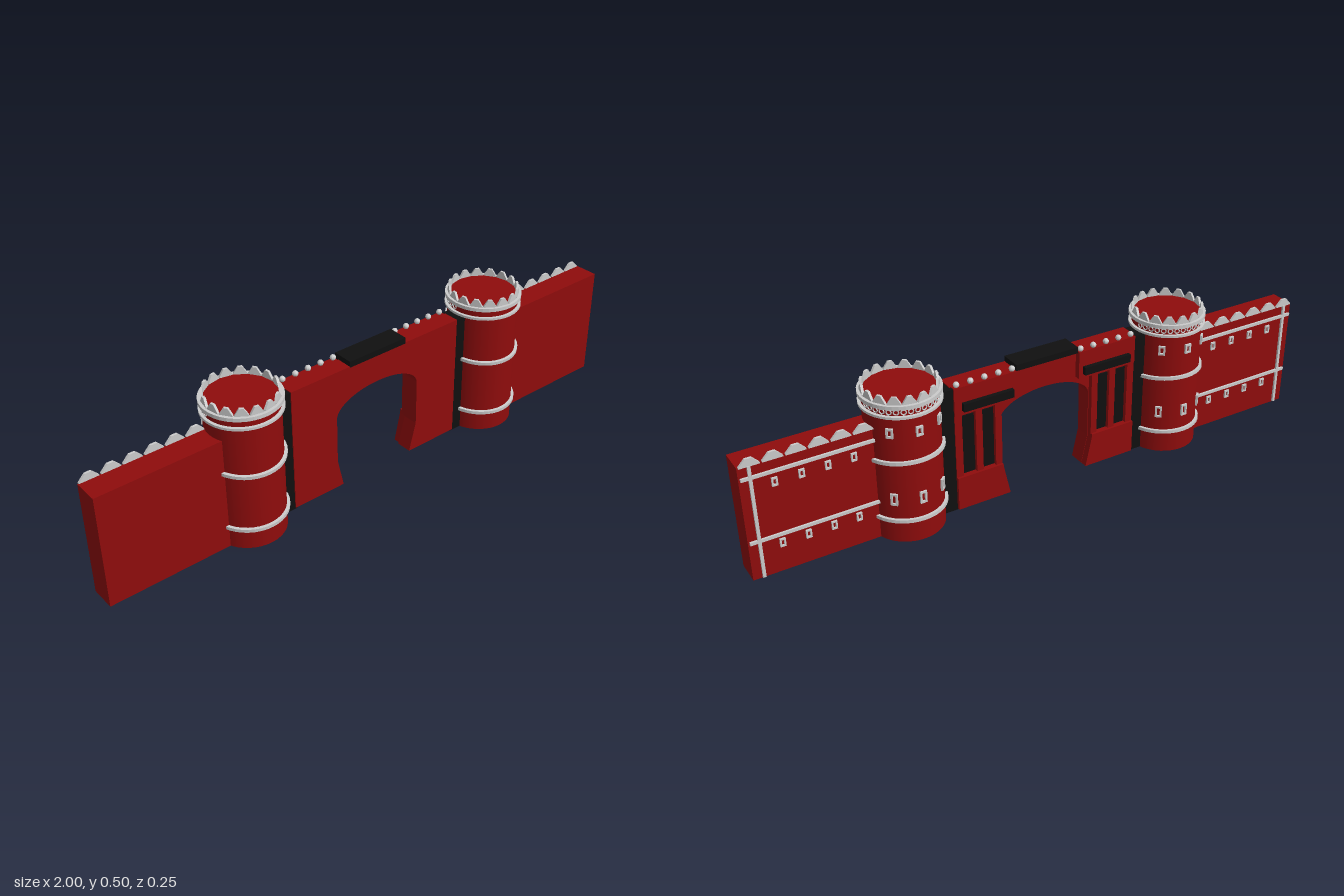
import * as THREE from 'three';

const red = new THREE.MeshStandardMaterial({ color: 0x8f0c0c });
const black = new THREE.MeshStandardMaterial({ color: 0x101010 });
const grey = new THREE.MeshStandardMaterial({ color: 0xcccccc, flatShading: true });

function add(parent, name, geometry, material, x = 0, y = 0, z = 0) {
  const mesh = new THREE.Mesh(geometry, material);
  mesh.name = name;
  mesh.position.set(x, y, z);
  parent.add(mesh);
  return mesh;
}

// Box given by its limits on each axis
function block(parent, name, material, x0, x1, y0, y1, z0, z1) {
  return add(parent, name, new THREE.BoxGeometry(Math.abs(x1 - x0), y1 - y0, z1 - z0), material,
    (x0 + x1) / 2, (y0 + y1) / 2, (z0 + z1) / 2);
}

function extrude(points, depth, hole) {
  const shape = new THREE.Shape(points.map(([x, y]) => new THREE.Vector2(x, y)));
  if (hole) shape.holes.push(new THREE.Path(hole.map(([x, y]) => new THREE.Vector2(x, y))));
  return new THREE.ExtrudeGeometry(shape, { depth, bevelEnabled: false });
}

// Tapered battlement tooth standing on y = 0
function toothGeometry(w, h, d) {
  const g = extrude([[-w / 2, 0], [w / 2, 0], [w / 2, h * 0.15], [w * 0.16, h], [-w * 0.16, h], [-w / 2, h * 0.15]], d);
  return g.translate(0, 0, -d / 2);
}

// Window surround with an open middle
function windowGeometry(w, h, d) {
  const a = w / 2, b = h / 2, c = w * 0.22, e = h / 2 - w * 0.28;
  const g = extrude([[-a, -b], [a, -b], [a, b], [-a, b]], d, [[-c, -e], [-c, e], [c, e], [c, -e]]);
  return g.translate(0, 0, -d / 2);
}

// Flat ring around a tower
function bandGeometry(r0, r1, h) {
  const p = [[r0, -h / 2], [r1, -h / 2], [r1, h / 2], [r0, h / 2], [r0, -h / 2]];
  return new THREE.LatheGeometry(p.map(([x, y]) => new THREE.Vector2(x, y)), 40);
}

function makeTower(x) {
  const tower = new THREE.Group();
  tower.name = 'tower';
  tower.position.x = x;
  const R = 0.116;
  add(tower, 'towerBody', new THREE.CylinderGeometry(R, R, 0.475, 40), red, 0, 0.2375, 0);

  // Lower bands lean slightly, crown bands are level
  for (const [y, h, tilt] of [[0.076, 0.011, 0.035], [0.275, 0.011, 0.075], [0.437, 0.008, 0], [0.47, 0.012, 0]]) {
    add(tower, 'towerBand', bandGeometry(R - 0.004, 0.126, h), grey, 0, y, 0).rotation.x = tilt;
  }

  const place = (name, geometry, angle, radius, y) => {
    const m = add(tower, name, geometry, grey, Math.sin(angle) * radius, y, Math.cos(angle) * radius);
    m.rotation.y = angle;
  };
  // Crown teeth
  const tooth = toothGeometry(0.042, 0.027, 0.008);
  for (let i = 0; i < 16; i++) place('crownTooth', tooth, (i + 0.5) * Math.PI / 8, 0.112, 0.474);
  // Row of rings on the rear half
  const ring = new THREE.TorusGeometry(0.0075, 0.0022, 6, 14);
  for (let i = -8; i <= 8; i++) place('crownRing', ring, Math.PI + i * 0.183, R + 0.001, 0.4525);
  // Rear windows
  for (const [y, h] of [[0.383, 0.032], [0.154, 0.04]]) {
    const frame = windowGeometry(0.022, h, 0.01);
    for (const i of [-1, 0, 1]) place('towerWindow', frame, Math.PI + i * 0.75, R + 0.001, y);
  }
  return tower;
}

function makeWall(s) {
  const wall = new THREE.Group();
  wall.name = 'sideWall';
  block(wall, 'wallBody', red, s * 0.56, s * 1, 0, 0.385, -0.036, 0.048);
  // Rear trim
  for (const y of [0.13, 0.345]) block(wall, 'wallBand', grey, s * 0.59, s * 0.995, y - 0.005, y + 0.005, -0.043, -0.034);
  block(wall, 'wallPost', grey, s * 0.962, s * 0.972, 0.003, 0.385, -0.043, -0.034);
  const tooth = toothGeometry(0.062, 0.026, 0.008);
  for (let i = 0; i < 6; i++) add(wall, 'wallTooth', tooth, grey, s * (0.965 - i * 0.068), 0.383, -0.037);
  const frame = windowGeometry(0.018, 0.028, 0.008);
  for (const y of [0.1, 0.31]) {
    for (let i = 0; i < 4; i++) add(wall, 'wallWindow', frame, grey, s * (0.9 - i * 0.08), y, -0.038);
  }
  return wall;
}

function makeGate() {
  const gate = new THREE.Group();
  gate.name = 'gatehouse';

  // Wall pierced by a splayed arch
  const shape = new THREE.Shape();
  shape.moveTo(0.335, 0.005);
  shape.lineTo(0.335, 0.435);
  shape.lineTo(-0.335, 0.435);
  shape.lineTo(-0.335, 0.005);
  shape.lineTo(-0.143, 0.005);
  shape.lineTo(-0.165, 0.105);
  shape.lineTo(-0.165, 0.265);
  shape.absellipse(0, 0.265, 0.165, 0.075, Math.PI, 0, true);
  shape.lineTo(0.165, 0.105);
  shape.lineTo(0.138, 0.005);
  const body = new THREE.ExtrudeGeometry(shape, { depth: 0.055, bevelEnabled: false, curveSegments: 24 });
  add(gate, 'archWall', body, red, 0, 0, -0.02);
  block(gate, 'centreCap', black, -0.112, 0.112, 0.432, 0.453, -0.036, 0.036);

  const stud = new THREE.SphereGeometry(0.01, 10, 8);
  for (const s of [-1, 1]) {
    block(gate, 'sideStrip', black, s * 0.328, s * 0.385, 0, 0.432, -0.034, 0.032);
    // Rear pier: head, dark ledge, columns and dark panels between them
    block(gate, 'pierHead', red, s * 0.115, s * 0.33, 0.34, 0.435, -0.04, -0.015);
    block(gate, 'pierLedge', black, s * 0.13, s * 0.305, 0.355, 0.382, -0.054, -0.035);
    for (const [a, b] of [[0.167, 0.19], [0.235, 0.258], [0.305, 0.33]]) {
      block(gate, 'pierColumn', red, s * a, s * b, 0.11, 0.34, -0.037, -0.015);
    }
    for (const a of [0.19, 0.258]) block(gate, 'pierPanel', black, s * a, s * (a + 0.046), 0.12, 0.325, -0.025, -0.015);
    // Splayed pier foot
    const foot = [[0.144, 0.005], [0.33, 0.005], [0.33, 0.12], [0.168, 0.12], [0.166, 0.105]];
    add(gate, 'pierFoot', extrude(foot.map(([x, y]) => [s * x, y]), 0.03), red, 0, 0, -0.045);
    // Studs along the top
    for (let i = 0; i < 5; i++) add(gate, 'topStud', stud, grey, s * (0.125 + i * 0.048), 0.443, -0.031);
  }
  return gate;
}

export function createModel() {
  const model = new THREE.Group();
  model.name = 'castleGate';
  model.add(makeGate());
  for (const s of [-1, 1]) model.add(makeTower(s * 0.485), makeWall(s));
  return model;
}
